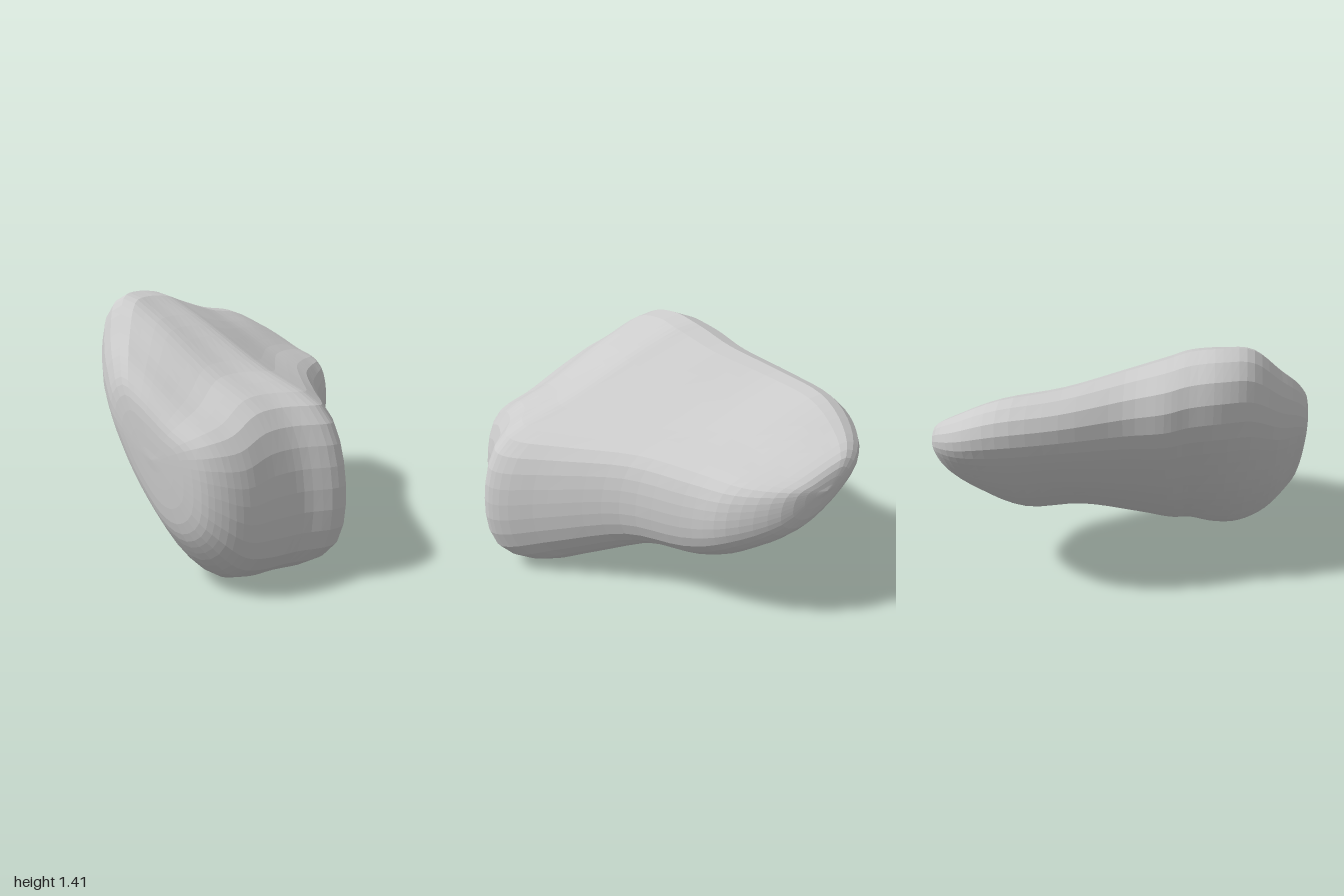
import * as THREE from 'three';

const SIDES = 40;
const RINGS = 52;

// Slices of the boulder from back to front:
// z, right edge x, left edge x, bottom y, top y
const slices = [
  [-1, -0.55, -0.55, 0.88, 0.88],
  [-0.97, -0.73, -0.3, 0.68, 1.03],
  [-0.82, -0.86, -0.07, 0.51, 1.13],
  [-0.6, -0.9, 0.08, 0.37, 1.22],
  [-0.3, -0.85, 0.3, 0.32, 1.26],
  [0, -0.75, 0.62, 0.15, 1.32],
  [0.2, -0.72, 0.85, 0.03, 1.37],
  [0.32, -0.68, 0.9, 0.01, 1.4],
  [0.48, -0.63, 0.81, 0, 1.41],
  [0.64, -0.53, 0.77, 0.01, 1.38],
  [0.8, -0.34, 0.75, 0.08, 1.22],
  [0.92, -0.15, 0.68, 0.22, 1.09],
  [0.985, 0, 0.56, 0.37, 0.95],
  [1, 0.28, 0.28, 0.66, 0.66],
];

// Leaning, round-cornered cross-section in a box from -1 to 1, counter-clockwise
const section = new THREE.CatmullRomCurve3([
  [1, -0.3], [0.84, 0.22], [0.3, 0.5], [-0.35, 0.86], [-0.72, 1], [-0.96, 0.84],
  [-1, 0.55], [-0.72, 0.02], [-0.3, -0.5], [0.22, -0.93], [0.6, -1], [0.93, -0.78],
].map(([u, v]) => new THREE.Vector3(u, v, 0)), true).getSpacedPoints(SIDES).slice(0, SIDES);

// Smooth curves through the slices: plan outline and height
const plan = new THREE.CatmullRomCurve3(
  slices.map(([z, right, left]) => new THREE.Vector3(right, left, z)), false, 'catmullrom');
const profile = new THREE.SplineCurve(
  slices.map(([, , , bottom, top]) => new THREE.Vector2(bottom, top)));

function boulderGeometry() {
  const positions = [];
  const indices = [];
  for (let i = 0; i <= RINGS; i++) {
    const { x: right, y: left, z } = plan.getPoint(i / RINGS);
    const { x: bottom, y: top } = profile.getPoint(i / RINGS);
    for (const { x: u, y: v } of section) {
      positions.push(
        THREE.MathUtils.lerp(right, left, (u + 1) / 2),
        THREE.MathUtils.lerp(bottom, top, (v + 1) / 2),
        z,
      );
    }
  }

  // Join neighbouring rings; the end rings close to a point
  for (let i = 0; i < RINGS; i++) {
    for (let j = 0; j < SIDES; j++) {
      const a = i * SIDES + j;
      const b = i * SIDES + ((j + 1) % SIDES);
      const c = a + SIDES;
      const d = b + SIDES;
      if (i > 0) indices.push(a, b, c);
      if (i < RINGS - 1) indices.push(b, d, c);
    }
  }
  const geometry = new THREE.BufferGeometry();
  geometry.setAttribute('position', new THREE.Float32BufferAttribute(positions, 3));
  geometry.setIndex(indices);
  geometry.computeVertexNormals();
  return geometry;
}

export function createModel() {
  const group = new THREE.Group();
  group.name = 'boulder';
  const material = new THREE.MeshStandardMaterial({ color: 0xcccccc, flatShading: true });
  const stone = new THREE.Mesh(boulderGeometry(), material);
  stone.name = 'stone';
  group.add(stone);
  return group;
}
